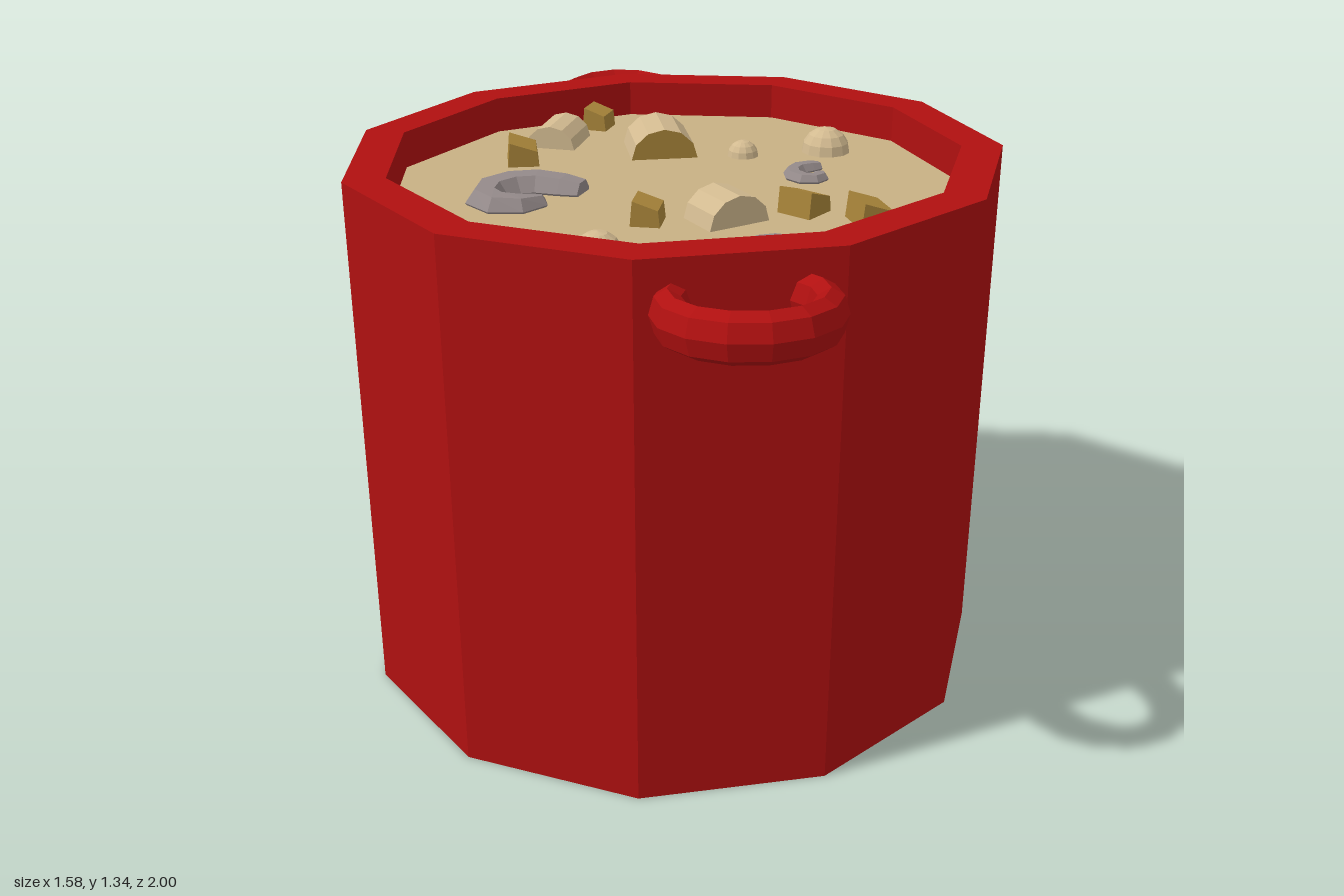
import * as THREE from 'three';

const mat = (name, color) => {
  const m = new THREE.MeshStandardMaterial({ color, flatShading: true });
  m.name = name;
  return m;
};

// Sweeps an elliptical ring along a flat path of [x, z, radius]; both ends are capped.
function sweep(path, sides, tall) {
  const pos = [], index = [];
  const n = path.length;
  const ring = (i, s) => {
    const a = path[Math.max(i - 1, 0)], b = path[Math.min(i + 1, n - 1)];
    const len = Math.hypot(b[0] - a[0], b[1] - a[1]);
    const tx = (b[0] - a[0]) / len, tz = (b[1] - a[1]) / len;
    const [x, z, r] = path[i];
    for (let k = 0; k < sides; k++) {
      const t = (k / sides) * Math.PI * 2;
      const c = Math.cos(t) * r * s;
      pos.push(x + tz * c, Math.sin(t) * r * s * tall, z - tx * c);
    }
  };
  ring(0, 0);
  for (let i = 0; i < n; i++) ring(i, 1);
  ring(n - 1, 0);
  for (let i = 0; i <= n; i++) {
    for (let k = 0; k < sides; k++) {
      const a = i * sides + k, b = i * sides + (k + 1) % sides;
      index.push(a, b, b + sides, a, b + sides, a + sides);
    }
  }
  const g = new THREE.BufferGeometry();
  g.setAttribute('position', new THREE.Float32BufferAttribute(pos, 3));
  g.setIndex(index);
  g.computeVertexNormals();
  return g;
}

export function createModel() {
  const model = new THREE.Group();
  model.name = 'soupPot';
  const red = mat('red enamel', 0xb01010);
  const broth = mat('broth', 0xc8b084);
  const cream = mat('cream vegetable', 0xd2ba90);
  const mustard = mat('golden potato', 0xa9853a);
  const grey = mat('grey shrimp', 0x948a8a);
  const level = 1.25;

  const add = (name, geometry, material, x = 0, y = 0, z = 0, turn = 0) => {
    const m = new THREE.Mesh(geometry, material);
    m.name = name;
    m.position.set(x, y, z);
    m.rotation.y = turn;
    model.add(m);
    return m;
  };

  // Eleven-sided pot, slightly wider than deep
  const profile = [[0, 0], [1, 0], [1, 1.34], [0.873, 1.34], [0.873, 1.2]]
    .map(([r, y]) => new THREE.Vector2(r, y));
  add('pot', new THREE.LatheGeometry(profile, 11, Math.PI), red).scale.set(0.8, 1, 0.76);

  // Soup surface
  const soup = new THREE.CylinderGeometry(0.872, 0.872, 0.04, 11, 1, false, Math.PI);
  add('soup', soup, broth, 0, level - 0.02, 0).scale.set(0.8, 1, 0.76);

  // Loop handles, front and back, tilted up outward
  const loop = [];
  for (let i = 0; i <= 10; i++) {
    const a = THREE.MathUtils.degToRad(-36 + 25.2 * i);
    loop.push([Math.cos(a) * 0.164, Math.sin(a) * 0.164, 0.039]);
  }
  const handleGeometry = sweep(loop, 8, 1.42);
  for (const [name, turn] of [['frontHandle', 0], ['backHandle', Math.PI]]) {
    const side = new THREE.Group();
    side.name = name;
    side.rotation.y = turn;
    const handle = new THREE.Mesh(handleGeometry, red);
    handle.name = name + 'Loop';
    handle.position.set(0, 1.235, 0.798);
    handle.rotation.x = -0.09;
    side.add(handle);
    model.add(side);
  }

  // Half-sunk round slices: x, z, width, length, turn, front cap
  for (const [x, z, w, l, turn, cap] of [
    [0.02, -0.31, 0.17, 0.17, -0.04, mustard],
    [0.07, 0.265, 0.16, 0.115, 0.35, cream],
    [-0.23, -0.435, 0.13, 0.145, -0.43, cream],
  ]) {
    const g = new THREE.CylinderGeometry(w / 2, w / 2, l, 12).rotateX(Math.PI / 2);
    add('vegetableSlice', g, [cream, cap, cream], x, level, z, turn).scale.y = 0.9;
  }

  // Potato chunks with narrowed, sloping tops: x, z, width, length, turn
  for (const [x, z, w, l, turn] of [
    [-0.105, -0.55, 0.075, 0.075, -0.5],
    [-0.34, -0.275, 0.09, 0.105, -0.08],
    [-0.11, 0.25, 0.08, 0.08, -0.35],
    [0.26, 0.245, 0.1, 0.09, 0.7],
    [0.39, 0.345, 0.095, 0.105, 0.08],
  ]) {
    const g = new THREE.BoxGeometry(w, 0.1, l);
    const p = g.attributes.position;
    for (let i = 0; i < p.count; i++) {
      if (p.getY(i) < 0) continue;
      p.setY(i, 0.05 - p.getX(i) * 0.25);
      p.setX(i, p.getX(i) * 0.75);
    }
    g.computeVertexNormals();
    add('potatoChunk', g, mustard, x, level, z, turn);
  }

  // Half-sunk round beans
  for (const [x, z, r] of [[0.44, -0.22, 0.063], [0.22, -0.22, 0.04], [-0.255, 0.45, 0.057]]) {
    add('bean', new THREE.SphereGeometry(r, 12, 8), cream, x, level, z);
  }

  // Curled shrimp: one tapering spiral, reused at three sizes
  const curl = [
    [0.163, -0.02, 0.036], [0.12, -0.047, 0.046], [0.06, -0.08, 0.05],
    [0, -0.08, 0.05], [-0.055, -0.045, 0.049], [-0.075, 0.015, 0.047],
    [-0.05, 0.06, 0.044], [0, 0.072, 0.04], [0.045, 0.048, 0.03], [0.052, 0.015, 0.016],
  ];
  const shrimp = sweep(curl, 6, 0.8);
  for (const [x, z, s, turn] of [
    [-0.39, 0.035, 1, 0], [0.335, -0.005, 0.5, 0.85], [0.118, 0.492, 0.52, -0.5],
  ]) {
    add('shrimp', shrimp, grey, x, level + 0.005, z, turn).scale.setScalar(s);
  }

  return model;
}
